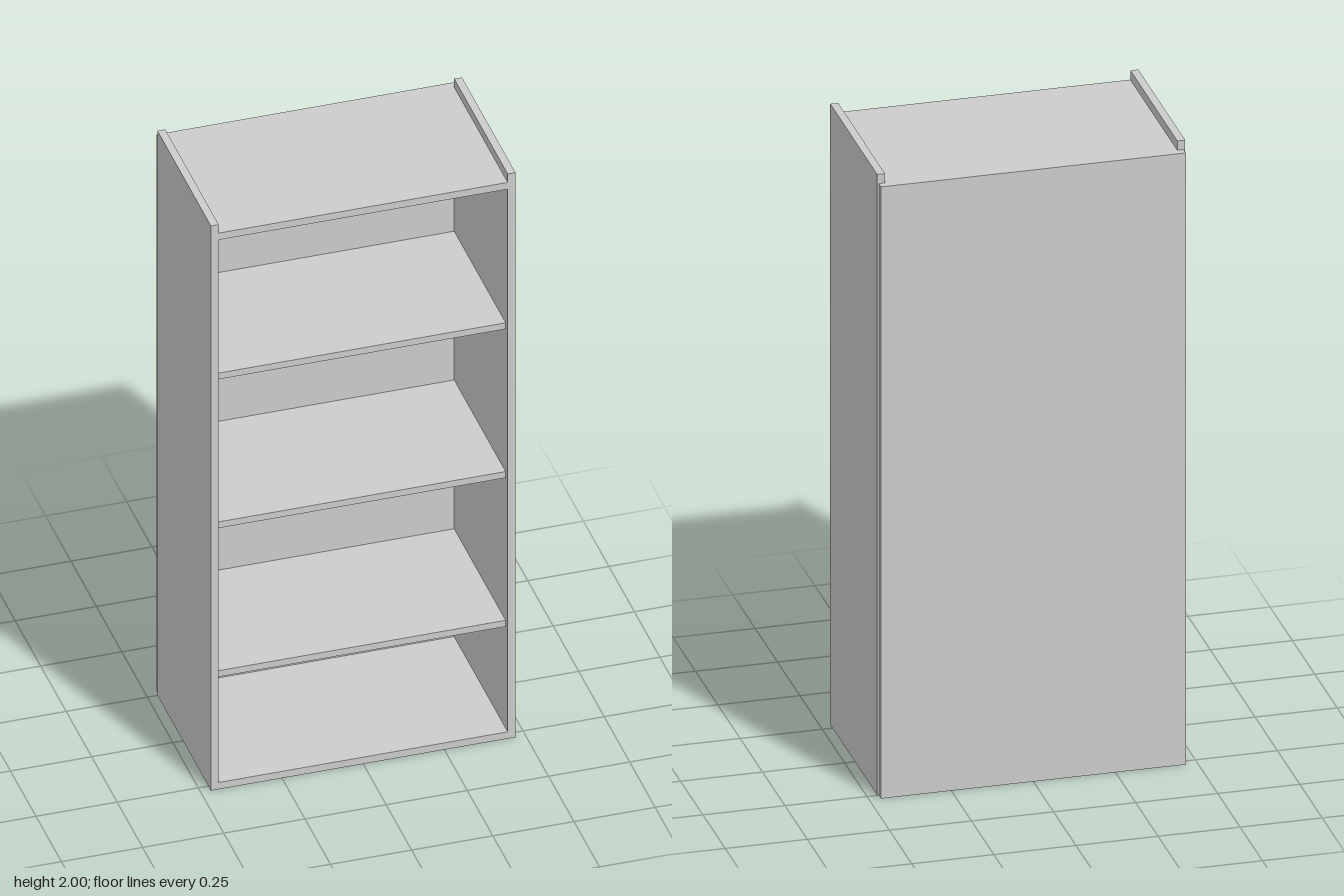
import * as THREE from 'three';

export function createModel() {
  const group = new THREE.Group();
  const material = new THREE.MeshStandardMaterial({ color: 0xcccccc });

  // Board spanning the given min/max ranges
  function board(name, [x0, x1], [y0, y1], [z0, z1]) {
    const mesh = new THREE.Mesh(new THREE.BoxGeometry(x1 - x0, y1 - y0, z1 - z0), material);
    mesh.position.set((x0 + x1) / 2, (y0 + y1) / 2, (z0 + z1) / 2);
    mesh.name = name;
    group.add(mesh);
  }

  const T = 0.024;            // board thickness
  const W = 0.469;            // half width
  const front = 0.275, back = -0.25;
  const inner = W - T;

  // Sides rise above the top board
  board('leftSide', [inner, W], [0, 2], [back, front]);
  board('rightSide', [-W, -inner], [0, 2], [back, front]);

  // Back panel, slightly narrower than the carcass
  board('backPanel', [-0.464, 0.464], [0, 1.97], [-0.275, back]);

  // Top and bottom boards, flush with the front
  board('topBoard', [-inner, inner], [1.97 - T, 1.97], [back, front]);
  board('bottomBoard', [-inner, inner], [0, T], [back, front]);

  // Inner shelves, set back a little
  [0.384, 0.911, 1.438].forEach((y, i) =>
    board(`shelf${i + 1}`, [-inner, inner], [y, y + 0.022], [back, front - 0.02]));

  return group;
}
